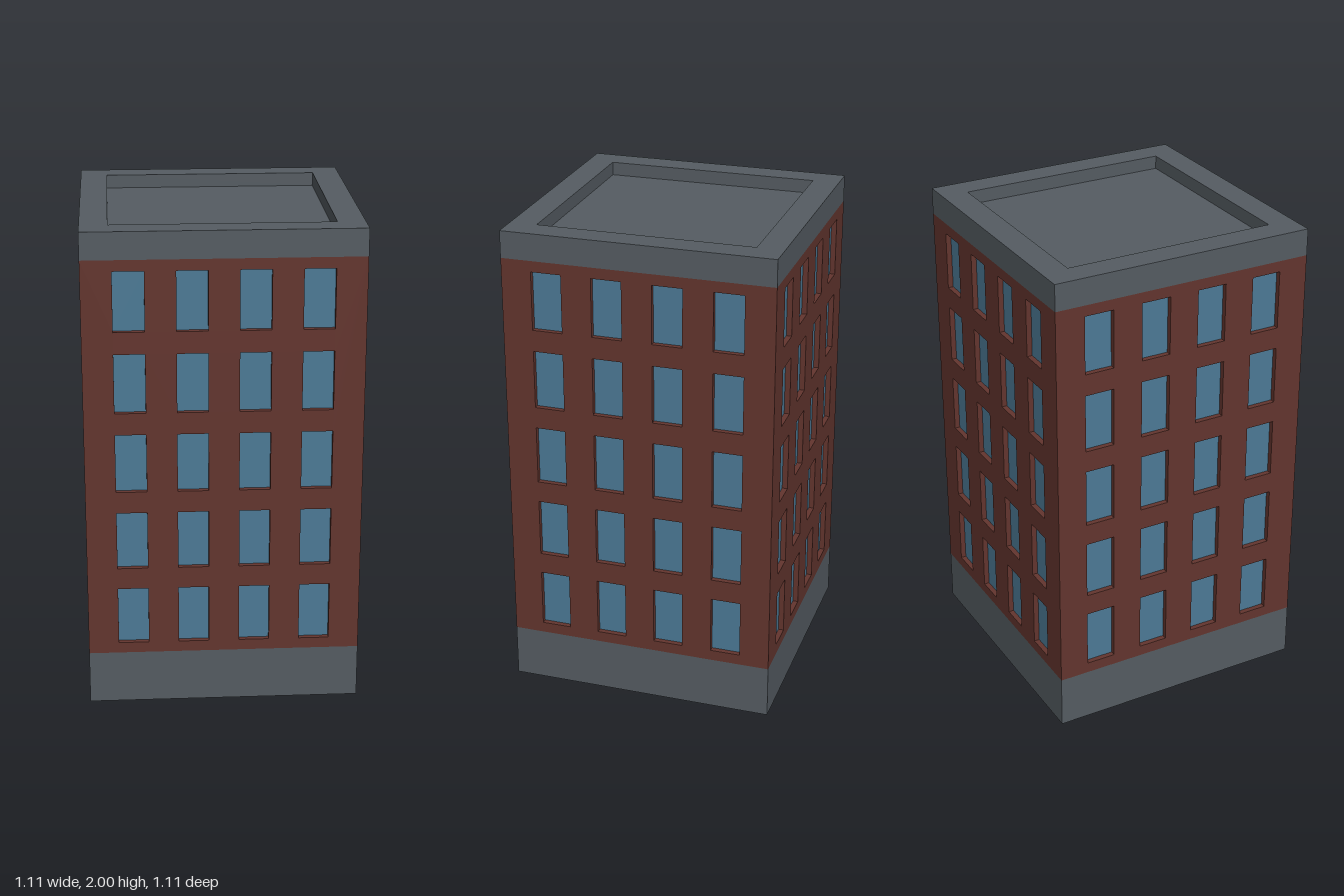
import * as THREE from 'three';
import { mergeGeometries } from 'three/addons/utils/BufferGeometryUtils.js';

const U = 2 / 18;                     // building module: 10 wide, 18 high
const WIDTH = 10 * U, HALF = WIDTH / 2;
const BASE_TOP = 2 * U, STOREY = 3 * U, STOREYS = 5, COLUMNS = 4;
const WALL_TOP = BASE_TOP + STOREYS * STOREY;
const WIN_W = WIDTH / 9, WIN_H = 0.243, RECESS = 0.022;

const material = (color) =>
  new THREE.MeshStandardMaterial({ color, flatShading: true, side: THREE.DoubleSide });

// Open four-sided tube along y, centred on the origin
const squareTube = (w, h, d) =>
  new THREE.CylinderGeometry(Math.SQRT1_2, Math.SQRT1_2, 1, 4, 1, true)
    .rotateY(Math.PI / 4).scale(w, h, d);

// Rectangle centred on (x, y), as a Shape or a Path for a hole
function rectangle(Type, x, y, w, h) {
  const r = new Type();
  r.moveTo(x - w / 2, y - h / 2);
  r.lineTo(x + w / 2, y - h / 2);
  r.lineTo(x + w / 2, y + h / 2);
  r.lineTo(x - w / 2, y + h / 2);
  r.closePath();
  return r;
}

export function createModel() {
  const model = new THREE.Group();
  model.name = 'apartmentBlock';
  const brick = material(0x63352e);
  const concrete = material(0x555c62);
  const glass = material(0x4c7a96);

  const add = (parent, name, geometry, mat) => {
    const mesh = new THREE.Mesh(geometry, mat);
    mesh.name = name;
    parent.add(mesh);
    return mesh;
  };

  // One facade: wall with window openings, their reveals and recessed panes
  const wall = rectangle(THREE.Shape, 0, (BASE_TOP + WALL_TOP) / 2, WIDTH, WALL_TOP - BASE_TOP);
  const reveals = [], panes = [];
  for (let row = 0; row < STOREYS; row++) {
    for (let col = 0; col < COLUMNS; col++) {
      const x = (col - (COLUMNS - 1) / 2) * 2 * WIN_W;
      const y = BASE_TOP + (row + 0.5) * STOREY;
      wall.holes.push(rectangle(THREE.Path, x, y, WIN_W, WIN_H));
      reveals.push(squareTube(WIN_W, RECESS, WIN_H)
        .rotateX(Math.PI / 2).translate(x, y, HALF - RECESS / 2));
      panes.push(new THREE.PlaneGeometry(WIN_W, WIN_H).translate(x, y, HALF - RECESS));
    }
  }
  const wallGeometry = new THREE.ShapeGeometry(wall).translate(0, 0, HALF);
  const revealGeometry = mergeGeometries(reveals);
  const paneGeometry = mergeGeometries(panes);

  // The same facade on all four sides
  ['front', 'left', 'back', 'right'].forEach((side, i) => {
    const facade = new THREE.Group();
    facade.name = side + 'Facade';
    facade.rotation.y = i * Math.PI / 2;
    add(facade, 'brickWall', wallGeometry, brick);
    add(facade, 'windowReveals', revealGeometry, brick);
    add(facade, 'windowPanes', paneGeometry, glass);
    model.add(facade);
  });

  // Plinth, open underneath
  add(model, 'plinth', squareTube(WIDTH, BASE_TOP, WIDTH).translate(0, BASE_TOP / 2, 0), concrete);

  // Parapet around the sunken roof
  const inner = WIDTH - 2 * U, sunk = U / 2;
  const rim = rectangle(THREE.Shape, 0, 0, WIDTH, WIDTH);
  rim.holes.push(rectangle(THREE.Path, 0, 0, inner, inner));
  add(model, 'parapetOutside', squareTube(WIDTH, U, WIDTH).translate(0, 2 - U / 2, 0), concrete);
  add(model, 'parapetTop',
    new THREE.ShapeGeometry(rim).rotateX(-Math.PI / 2).translate(0, 2, 0), concrete);
  // Scaling by -1 in x turns the tube's faces inward
  const inside = squareTube(inner, sunk, inner);
  inside.index.array.reverse();
  inside.computeVertexNormals();
  add(model, 'parapetInside', inside.translate(0, 2 - sunk / 2, 0), concrete);
  add(model, 'roof',
    new THREE.PlaneGeometry(inner, inner).rotateX(-Math.PI / 2).translate(0, 2 - sunk, 0), concrete);

  return model;
}
